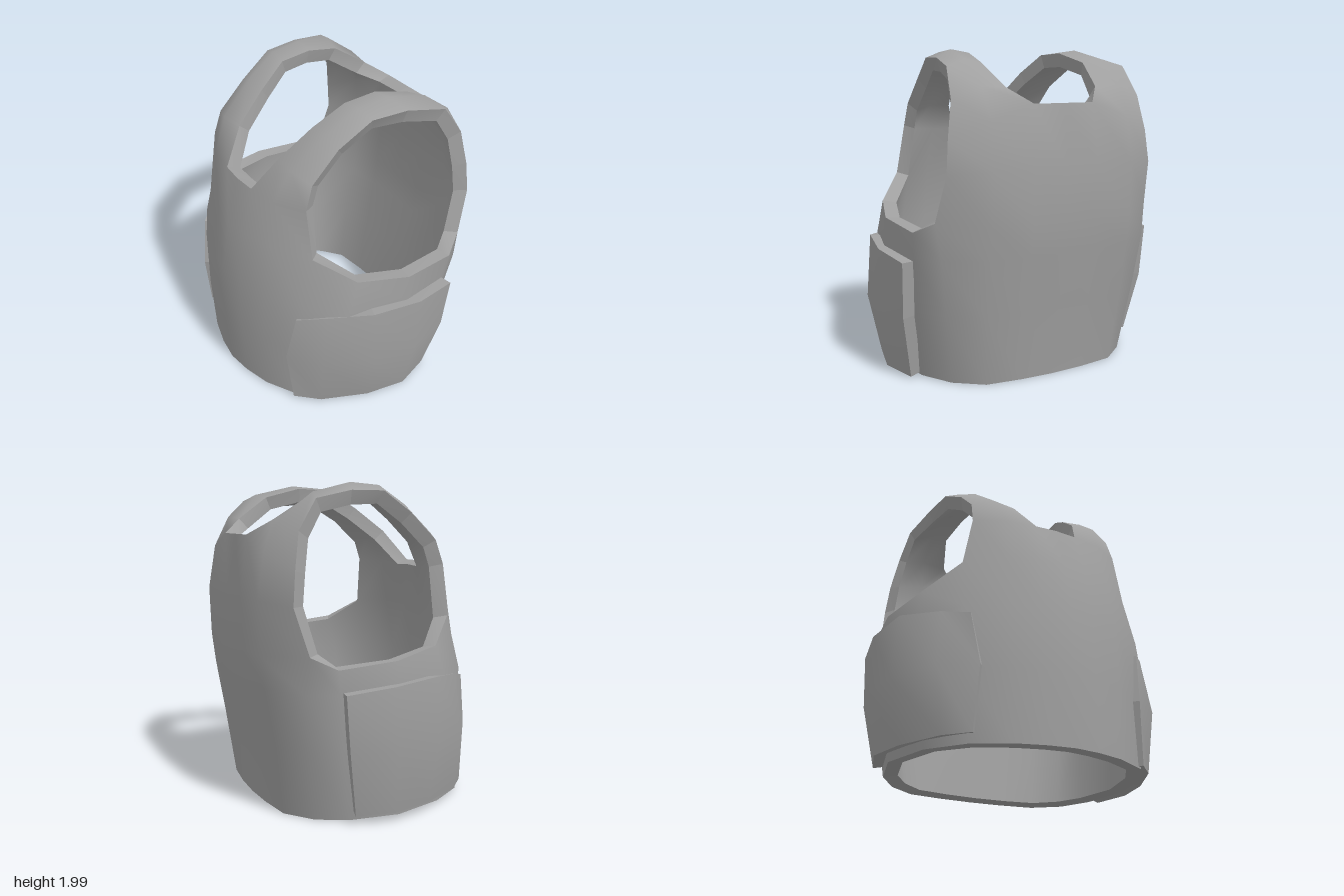
import * as THREE from 'three';

const fabric = new THREE.MeshStandardMaterial({ color: 0xa0a0a0 });
fabric.name = 'grey fabric';

// Joins patches (lists of columns of points) into one sheet and gives it thickness towards the inside
function thickSheet(patches, thickness) {
  const points = [], lookup = new Map(), faces = [];
  const vertex = (p) => {
    const key = p.map((v) => Math.round(v * 1000) + 0).join();
    if (!lookup.has(key)) {
      lookup.set(key, points.length);
      points.push(new THREE.Vector3(...p));
    }
    return lookup.get(key);
  };
  for (const { columns, mirrored } of patches) {
    for (let i = 0; i < columns.length - 1; i++) {
      const a = columns[i], b = columns[i + 1];
      for (let j = 0; j < Math.min(a.length, b.length) - 1; j++) {
        const quad = [a[j], b[j], b[j + 1], a[j + 1]].map(vertex);
        faces.push(mirrored ? quad.reverse() : quad);
      }
    }
  }

  // Smooth normals set the direction of the offset
  const normals = points.map(() => new THREE.Vector3());
  const edges = new Set();
  for (const f of faces) {
    const d1 = points[f[2]].clone().sub(points[f[0]]);
    const d2 = points[f[3]].clone().sub(points[f[1]]);
    const n = d1.cross(d2);
    f.forEach((v, k) => {
      normals[v].add(n);
      edges.add(v + '_' + f[(k + 1) % 4]);
    });
  }
  const inner = points.map((p, i) => p.clone().addScaledVector(normals[i].normalize(), -thickness));

  const verts = [...points, ...inner], index = [], n = points.length;
  for (const [a, b, c, d] of faces) {
    index.push(a, b, d, b, c, d);
    index.push(n + a, n + d, n + b, n + b, n + d, n + c);
  }
  // Flat rim along every open edge
  for (const edge of edges) {
    const [a, b] = edge.split('_').map(Number);
    if (edges.has(b + '_' + a)) continue;
    const s = verts.length;
    verts.push(points[b], points[a], inner[a], inner[b]);
    index.push(s, s + 1, s + 2, s, s + 2, s + 3);
  }
  const geometry = new THREE.BufferGeometry().setFromPoints(verts);
  geometry.setIndex(index);
  geometry.computeVertexNormals();
  return geometry;
}

const mirror = (columns, lift = 0) => columns.map((c) => c.map(([x, y, z]) => [x === 0 ? 0 : -x, y + lift, z]));

export function createModel() {
  const group = new THREE.Group();
  group.name = 'vest';

  // Half of the torso: columns from the front centre, round the side, to the back centre
  const front = [
    [[0, .02, .76], [0, .45, .78], [0, .85, .76], [0, 1.2, .70], [0, 1.49, .61]],
    [[.16, .02, .74], [.16, .45, .75], [.16, .85, .735], [.16, 1.2, .675], [.14, 1.49, .60]],
    [[.34, .02, .69], [.35, .45, .70], [.36, .85, .685], [.36, 1.2, .62], [.33, 1.49, .57]],
    [[.56, .02, .57], [.60, .45, .56], [.60, .85, .55], [.58, 1.18, .47], [.52, 1.5, .47]],
  ];
  const side = [
    [[.72, .03, .33], [.77, .45, .35], [.78, .8, .34], [.76, 1.03, .27]],
    [[.81, .03, 0], [.86, .45, -.02], [.87, .8, -.04], [.86, .98, -.05]],
    [[.74, .02, -.30], [.79, .45, -.36], [.82, .8, -.39], [.83, .95, -.41]],
  ];
  const back = [
    [[.62, .01, -.47], [.68, .45, -.53], [.72, .8, -.57], [.75, 1.02, -.55], [.71, 1.3, -.63], [.69, 1.5, -.61]],
    [[.45, .01, -.60], [.48, .45, -.66], [.48, .8, -.72], [.48, 1.0, -.745], [.48, 1.32, -.755], [.47, 1.6, -.71]],
    [[.22, .01, -.63], [.22, .45, -.685], [.22, .8, -.74], [.22, 1.0, -.76], [.22, 1.32, -.77], [.20, 1.69, -.72]],
    [[0, .01, -.64], [0, .45, -.69], [0, .8, -.75], [0, 1.0, -.765], [0, 1.32, -.78], [0, 1.69, -.72]],
  ];
  const torso = [...front, ...side, ...back];

  // Shoulder strap over the top: neck edge, middle and arm edge
  const strapPaths = [
    [[.22, 1.69, .45], [.27, 1.85, .25], [.32, 1.97, .06], [.33, 1.98, -.15], [.36, 1.92, -.38], [.31, 1.78, -.59]],
    [[.37, 1.69, .47], [.41, 1.87, .25], [.44, 1.985, .05], [.45, 2.0, -.15], [.48, 1.94, -.41], [.48, 1.79, -.61]],
    [[.51, 1.65, .42], [.51, 1.82, .24], [.54, 1.95, .03], [.57, 1.95, -.20], [.62, 1.90, -.45], [.65, 1.72, -.57]],
  ];
  const strap = strapPaths.map((path, i) => [front[i + 1].at(-1), ...path, back[2 - i].at(-1)]);

  const body = new THREE.Mesh(thickSheet([
    { columns: torso }, { columns: mirror(torso), mirrored: true },
    { columns: strap }, { columns: mirror(strap), mirrored: true },
  ], 0.09), fabric);
  body.name = 'vestBody';
  group.add(body);

  // Curved side panels, the right one a little higher
  const panel = [
    [[.55, .03, .61], [.53, .42, .645], [.57, .745, .59]],
    [[.68, .03, .48], [.73, .42, .50], [.70, .785, .45]],
    [[.82, .03, .20], [.90, .42, .22], [.87, .82, .22]],
    [[.88, .03, -.06], [.94, .42, -.08], [.93, .80, -.10]],
    [[.81, .02, -.29], [.88, .42, -.36], [.89, .77, -.39]],
  ];
  const leftPanel = new THREE.Mesh(thickSheet([{ columns: panel }], 0.08), fabric);
  leftPanel.name = 'leftSidePanel';
  const rightPanel = new THREE.Mesh(thickSheet([{ columns: mirror(panel, 0.045), mirrored: true }], 0.08), fabric);
  rightPanel.name = 'rightSidePanel';
  group.add(leftPanel, rightPanel);
  return group;
}
